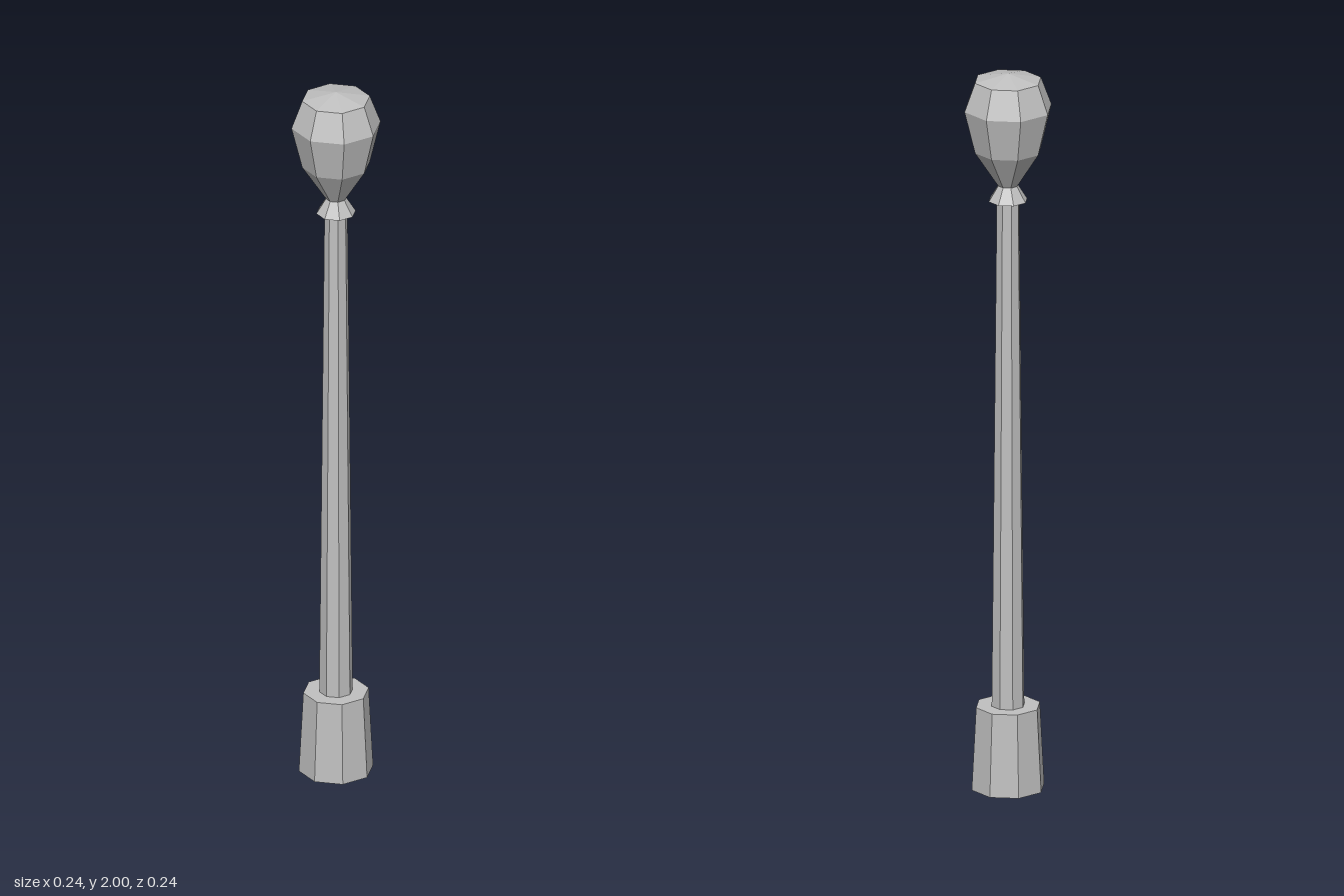
import * as THREE from 'three';

const SIDES = 8;

export function createModel() {
  const group = new THREE.Group();
  group.name = 'lampPost';

  const grey = new THREE.MeshStandardMaterial({ color: 0xc0c0c0, flatShading: true });
  grey.name = 'grey';

  // Octagonal part turned from a [radius, height] profile, bottom to top
  const turned = (name, profile) => {
    const points = profile.map(([r, y]) => new THREE.Vector2(r, y));
    const mesh = new THREE.Mesh(new THREE.LatheGeometry(points, SIDES), grey);
    mesh.name = name;
    group.add(mesh);
  };

  // Tapered foot
  turned('base', [[0, 0], [0.1, 0], [0.088, 0.23], [0, 0.23]]);
  // Slim tapered pole
  turned('pole', [[0.045, 0.23], [0.031, 1.645]]);
  // Flared collar under the lamp
  turned('collar', [[0, 1.645], [0.053, 1.645], [0.027, 1.687]]);
  // Faceted lamp globe with a shallow cap
  turned('lampGlobe', [[0.027, 1.687], [0.091, 1.785], [0.12, 1.903], [0.091, 1.981], [0, 2]]);

  return group;
}
